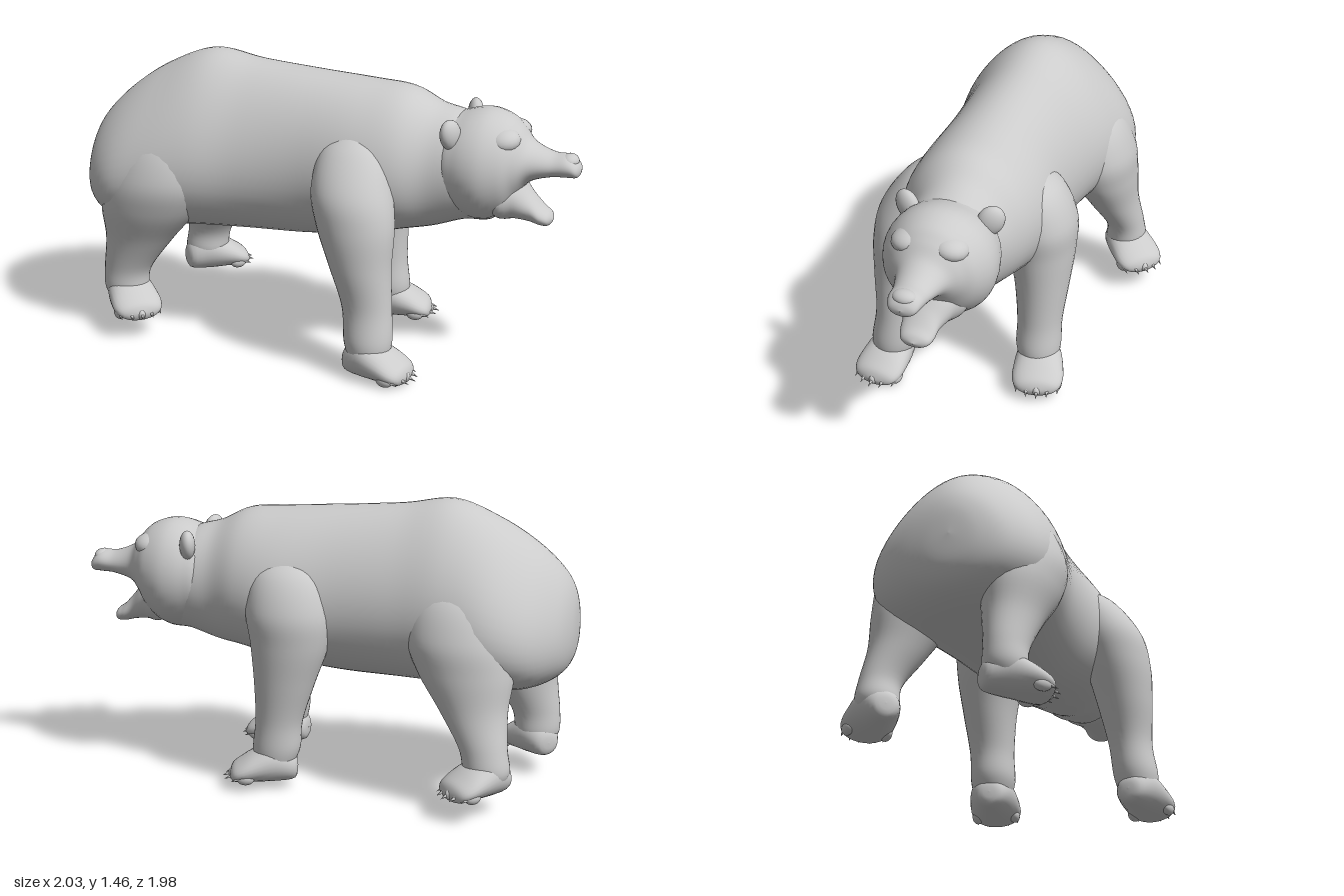
import * as THREE from 'three';

const material = new THREE.MeshStandardMaterial({ color: 0xcccccc });

function addMesh(parent, name, geometry) {
  const mesh = new THREE.Mesh(geometry, material);
  mesh.name = name;
  parent.add(mesh);
  return mesh;
}

// Smooth curve through neighbouring values
function spline(p0, p1, p2, p3, t) {
  const m1 = (p2 - p0) / 2, m2 = (p3 - p1) / 2;
  return (2 * p1 - 2 * p2 + m1 + m2) * t ** 3 + (-3 * p1 + 3 * p2 - 2 * m1 - m2) * t * t + m1 * t + p1;
}

// Skin over rings [x, y, z, halfWidth, halfDepth, taper]; taper is given for all rings or none.
// Upright rings run towards +z; flat rings run downwards.
function loft(sections, flat = false, sides = 36, steps = 6) {
  const positions = [], indices = [];
  const last = sections.length - 1;
  const at = (i) => sections[Math.min(last, Math.max(0, i))];
  const rows = last * steps;
  for (let r = 0; r <= rows; r++) {
    const i = Math.min(last - 1, Math.floor(r / steps));
    const t = r / steps - i;
    const [x, y, z, a, b, taper = 0] = at(i).map((v, k) =>
      spline(at(i - 1)[k], v, at(i + 1)[k], at(i + 2)[k], t));
    const w = Math.max(0.0005, a), d = Math.max(0.0005, b);
    for (let j = 0; j < sides; j++) {
      const angle = (j / sides) * Math.PI * 2;
      const c = Math.cos(angle), s = Math.sin(angle);
      if (flat) positions.push(x + w * c, y, z + d * s);
      else positions.push(x + w * c * (1 - taper * s), y + d * s, z);
    }
  }
  for (let r = 0; r < rows; r++) {
    for (let j = 0; j < sides; j++) {
      const p = r * sides + j, q = r * sides + (j + 1) % sides;
      indices.push(p, q, p + sides, q, q + sides, p + sides);
    }
  }
  const geometry = new THREE.BufferGeometry();
  geometry.setAttribute('position', new THREE.Float32BufferAttribute(positions, 3));
  geometry.setIndex(indices);
  geometry.computeVertexNormals();
  return geometry;
}

function ellipsoid(parent, name, [x, y, z], [a, b, c]) {
  const mesh = addMesh(parent, name, new THREE.SphereGeometry(1, 20, 14));
  mesh.position.set(x, y, z);
  mesh.scale.set(a, b, c);
  return mesh;
}

// Paw with five toes and claws, toes towards +z
function makePaw([x, y, z], yaw) {
  const paw = new THREE.Group();
  paw.name = 'paw';
  addMesh(paw, 'pawPad', loft([
    [0, 0.08, -0.125, 0, 0],
    [0, 0.08, -0.11, 0.065, 0.065],
    [0, 0.105, -0.02, 0.108, 0.105],
    [0, 0.085, 0.08, 0.126, 0.085],
    [0, 0.06, 0.16, 0.125, 0.06],
    [0, 0.045, 0.205, 0.09, 0.04],
    [0, 0.04, 0.222, 0, 0],
  ], false, 28, 4));
  for (let i = -2; i <= 2; i++) {
    const tx = i * 0.048, tz = 0.185 - i * i * 0.012;
    ellipsoid(paw, 'toe', [tx, 0.037, tz], [0.027, 0.033, 0.045]);
    const claw = addMesh(paw, 'claw', new THREE.ConeGeometry(0.011, 0.045, 8));
    claw.position.set(tx * 1.08, 0.03, tz + 0.053);
    claw.rotation.x = Math.PI / 2 + 0.35;
  }
  paw.position.set(x, y, z);
  paw.rotation.y = yaw;
  return paw;
}

function makeLeg(name, sections, groundY, yaw) {
  const leg = new THREE.Group();
  leg.name = name;
  addMesh(leg, 'limb', loft(sections, true, 32));
  const [x, , z] = sections[sections.length - 1];
  leg.add(makePaw([x, groundY, z], yaw));
  return leg;
}

function makeHead() {
  const head = new THREE.Group();
  head.name = 'head';
  // Skull running into the upper muzzle
  addMesh(head, 'skullAndMuzzle', loft([
    [0, 1.02, 0.66, 0, 0, 0],
    [0, 1.02, 0.7, 0.21, 0.2, 0],
    [0, 1.015, 0.79, 0.264, 0.255, 0],
    [0, 1.015, 0.9, 0.275, 0.277, 0.04],
    [0, 1.03, 1.0, 0.235, 0.235, 0.06],
    [0, 1.05, 1.06, 0.18, 0.165, 0.08],
    [0, 1.05, 1.12, 0.125, 0.097, 0.1],
    [0, 1.045, 1.22, 0.092, 0.06, 0.1],
    [0, 1.045, 1.3, 0.082, 0.055, 0],
    [0, 1.03, 1.345, 0.06, 0.035, 0],
    [0, 1.03, 1.36, 0, 0, 0],
  ]));
  // Open lower jaw
  addMesh(head, 'lowerJaw', loft([
    [0, 0.9, 0.86, 0, 0],
    [0, 0.88, 0.96, 0.17, 0.12],
    [0, 0.865, 1.05, 0.13, 0.11],
    [0, 0.82, 1.12, 0.093, 0.072],
    [0, 0.784, 1.175, 0.084, 0.048],
    [0, 0.77, 1.215, 0.062, 0.032],
    [0, 0.77, 1.235, 0, 0],
  ]));
  ellipsoid(head, 'nose', [0, 1.07, 1.3], [0.06, 0.036, 0.045]);
  for (const side of [-1, 1]) {
    const ear = ellipsoid(head, 'ear', [side * 0.205, 1.195, 0.765], [0.065, 0.078, 0.04]);
    ear.rotation.set(0, side * 0.35, -side * 0.45);
    const brow = ellipsoid(head, 'brow', [side * 0.1, 1.165, 0.99], [0.09, 0.06, 0.09]);
    brow.rotation.set(0, side * 0.4, -side * 0.15);
  }
  head.position.x = 0.02;
  return head;
}

export function createModel() {
  const model = new THREE.Group();
  model.name = 'bear';

  // Rump, back, belly and neck
  addMesh(model, 'body', loft([
    [-0.09, 0.84, -1.165, 0, 0, 0.2],
    [-0.09, 0.84, -1.15, 0.14, 0.15, 0.2],
    [-0.07, 0.855, -1.09, 0.28, 0.26, 0.25],
    [-0.03, 0.895, -0.96, 0.4, 0.355, 0.3],
    [0, 0.95, -0.78, 0.44, 0.42, 0.3],
    [0, 1.0, -0.55, 0.415, 0.457, 0.28],
    [0, 0.987, -0.3, 0.37, 0.437, 0.2],
    [0, 0.98, 0, 0.347, 0.42, 0.12],
    [0, 0.99, 0.3, 0.36, 0.39, 0.12],
    [0, 1.005, 0.5, 0.33, 0.358, 0.1],
    [0.01, 0.985, 0.65, 0.265, 0.31, 0.05],
    [0.02, 0.985, 0.8, 0.235, 0.262, 0],
    [0.02, 0.93, 0.95, 0.16, 0.18, 0],
    [0.02, 0.93, 1.0, 0, 0, 0],
  ], false, 48));

  model.add(makeHead());

  model.add(makeLeg('frontRightLeg', [
    [-0.23, 1.2, 0.3, 0, 0],
    [-0.26, 1.1, 0.3, 0.12, 0.15],
    [-0.33, 0.92, 0.32, 0.175, 0.2],
    [-0.37, 0.75, 0.355, 0.165, 0.195],
    [-0.39, 0.55, 0.39, 0.138, 0.155],
    [-0.4, 0.35, 0.43, 0.11, 0.125],
    [-0.42, 0.18, 0.445, 0.112, 0.12],
    [-0.43, 0.07, 0.45, 0.085, 0.09],
  ], 0, -0.12));

  model.add(makeLeg('frontLeftLeg', [
    [0.2, 1.2, 0.23, 0, 0],
    [0.24, 1.1, 0.23, 0.13, 0.17],
    [0.28, 0.92, 0.22, 0.175, 0.22],
    [0.29, 0.75, 0.215, 0.165, 0.2],
    [0.3, 0.55, 0.24, 0.135, 0.155],
    [0.3, 0.35, 0.27, 0.113, 0.12],
    [0.3, 0.2, 0.285, 0.112, 0.12],
    [0.31, 0.1, 0.3, 0.085, 0.09],
  ], 0.03, 0.26));

  model.add(makeLeg('rearRightLeg', [
    [-0.2, 1.17, -0.7, 0, 0],
    [-0.24, 1.05, -0.7, 0.15, 0.2],
    [-0.28, 0.85, -0.73, 0.2, 0.27],
    [-0.29, 0.68, -0.79, 0.18, 0.26],
    [-0.28, 0.5, -0.86, 0.135, 0.18],
    [-0.28, 0.33, -0.93, 0.105, 0.125],
    [-0.28, 0.22, -0.94, 0.105, 0.115],
    [-0.28, 0.15, -0.93, 0.08, 0.09],
  ], 0.095, -0.8));

  model.add(makeLeg('rearLeftLeg', [
    [0.2, 1.17, -0.62, 0, 0],
    [0.24, 1.05, -0.62, 0.16, 0.2],
    [0.3, 0.85, -0.64, 0.19, 0.26],
    [0.33, 0.68, -0.68, 0.17, 0.24],
    [0.37, 0.5, -0.73, 0.13, 0.17],
    [0.42, 0.33, -0.79, 0.1, 0.12],
    [0.425, 0.22, -0.81, 0.105, 0.115],
    [0.425, 0.15, -0.805, 0.08, 0.09],
  ], 0.095, 0.8));

  // The animal stands diagonally
  model.rotation.y = Math.PI / 4;
  const root = new THREE.Group();
  root.name = 'standingBear';
  root.add(model);
  return root;
}
